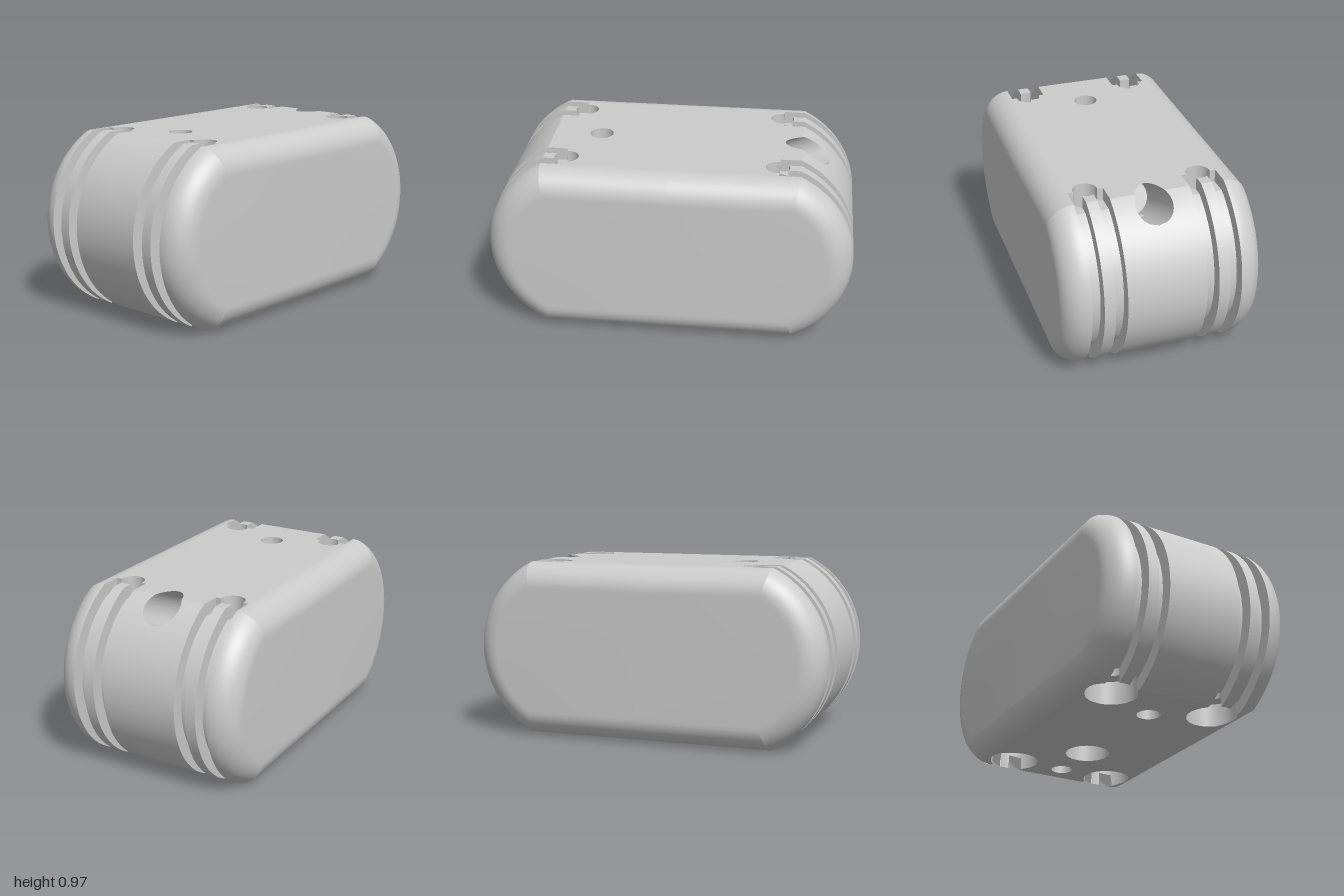
import * as THREE from 'three';
import { mergeGeometries, toCreasedNormals } from 'three/addons/utils/BufferGeometryUtils.js';

// Cross-section: flat top and bottom, round ends, filleted front and back
const H = 0.485, R = 0.538, C = 0.462, FILLET = 0.14, Z0 = 0.405;
// Corner holes and the two grooves beside each
const HX = 0.57, HZ = 0.31, HR = 0.065, CR = 0.1375, CDEPTH = 0.13;
const GD = 0.07, VI = 0.03, VO = 0.095, SLOT = 0.58;
// Slanted tunnel
const TP = { x: 0.76, y: 0.932 }, TA = 0.419, TR = 0.1, TLEN = 0.42;
const TC = Math.cos(TA), TS = Math.sin(TA);

const lerp = THREE.MathUtils.lerp;
const half = (r, v) => Math.sqrt(Math.max(0, r * r - v * v));
const miterX = d => C + half(R - d, H - d);
const X1 = miterX(0);
const bottomY = (d, x) => x < miterX(d) ? d : H - half(R - d, x - C);
const topEdge = v => Math.abs(v) > VI ? Math.max(SLOT, HX + half(HR, v)) : HX + half(HR, v);
const topEdgeRidge = v => HX + half(HR, v);
const bottomEdge = v => HX + half(CR, v);

// Grid of quads; f(s, t) with both from 0 to 1
function grid(n, m, f) {
  const pos = [], idx = [];
  for (let i = 0; i <= n; i++) for (let j = 0; j <= m; j++) pos.push(...f(i / n, j / m));
  for (let i = 0; i < n; i++) for (let j = 0; j < m; j++) {
    const a = i * (m + 1) + j, b = a + m + 1;
    idx.push(a, b, b + 1, a, b + 1, a + 1);
  }
  const g = new THREE.BufferGeometry();
  g.setAttribute('position', new THREE.Float32BufferAttribute(pos, 3));
  g.setIndex(idx);
  return g.toNonIndexed();
}

// Swap two corners of every triangle
function flip(g) {
  const p = g.attributes.position, a = new THREE.Vector3(), b = new THREE.Vector3();
  for (let i = 0; i < p.count; i += 3) {
    a.fromBufferAttribute(p, i + 1);
    b.fromBufferAttribute(p, i + 2);
    p.setXYZ(i + 1, b.x, b.y, b.z);
    p.setXYZ(i + 2, a.x, a.y, a.z);
  }
  return g;
}

function mirror(g, sx, sz) {
  const c = g.clone().scale(sx, 1, sz);
  return sx * sz < 0 ? flip(c) : c;
}

// Flat outline in plan [x, z], lying at height y(z)
function sheet(pts, y, up) {
  const s = new THREE.ShapeGeometry(new THREE.Shape(pts.map(p => new THREE.Vector2(...p)))).toNonIndexed();
  const g = new THREE.BufferGeometry(), p = s.attributes.position;
  for (let i = 0; i < p.count; i++) p.setXYZ(i, p.getX(i), y(p.getY(i)), p.getY(i));
  g.setAttribute('position', p);
  return up ? flip(g) : g;
}

const arcPts = (cx, cz, r, a0, a1, n = 32) => Array.from({ length: n + 1 }, (_, i) => {
  const a = lerp(a0, a1, i / n);
  return [cx + r * Math.cos(a), cz + r * Math.sin(a)];
});

// Point on the round end, inset by d, starting at x = from on the underside
function endArc(s, d, from = 0) {
  const r = R - d, a = Math.asin((H - d) / r);
  const a0 = -Math.acos(Math.min(1, (Math.max(from, miterX(d)) - C) / r));
  const t = lerp(Math.max(a0, -a), a, s);
  return [C + r * Math.cos(t), H + r * Math.sin(t)];
}

// Round end with short flats running to the corner hole and counterbore
const N = 64;
function band(s, d, v, edge) {
  const k = Math.round(s * (N + 2)), ub = bottomEdge(v);
  if (k === 0) return ub < miterX(d) ? [ub, d] : endArc(0, d, ub);
  if (k === N + 2) return [edge(v), 2 * H - d];
  return endArc((k - 1) / N, d, ub);
}

const tunnelHalfWidth = (x, y) => y < H ? 0 : half(TR, (x - TP.x) * TS - (y - TP.y) * TC);

// Vertical half bore on the centre line, optionally closed at the top
function centreBore(x, r, top, closed) {
  const out = [grid(32, 1, (s, t) => [x + r * Math.cos(s * Math.PI), t * top, r * Math.sin(s * Math.PI)])];
  if (closed) out.push(grid(32, 1, (s, t) =>
    [x + r * (1 - t) * Math.cos(s * Math.PI), top, r * (1 - t) * Math.sin(s * Math.PI)]));
  return out;
}

// One quarter of the block, in +x and +z
function quarter(withTunnel) {
  const skin = [], grooves = [], holes = [], tunnel = [];
  const bores = withTunnel ? [[0.245, 0.125, 0.13, true], [0.56, 0.062, 0.72, true]] : [[0.43, HR, 2 * H, false]];
  const notch = b => arcPts(b[0], 0, b[1], Math.PI, 0, 24);

  // Top sheet
  const tip = TP.x + ((2 * H - TP.y) * TC - TR) / TS;
  const rim = withTunnel
    ? Array.from({ length: 17 }, (_, i) => {
      const x = lerp(tip, X1, (i / 16) ** 2);
      return [x, tunnelHalfWidth(x, 2 * H)];
    })
    : [...notch(bores[0]), [X1, 0]];
  const ha = Math.acos((SLOT - HX) / HR);
  skin.push(sheet([[0, 0], ...rim, [X1, HZ - VO], [SLOT, HZ - VO],
    ...arcPts(HX, HZ, HR, -ha, ha - 2 * Math.PI), [SLOT, Z0], [0, Z0]], () => 2 * H, true));

  // Bottom sheet and the shallow start of its fillet, cut by the counterbore
  const ca = Math.asin(VO / CR), t1 = Math.asin(0.35);
  const z1 = Z0 + FILLET * 0.35, d1 = FILLET * (1 - Math.cos(t1));
  skin.push(sheet([[0, 0], ...bores.flatMap(notch), [X1, 0], [X1, HZ - VO],
    ...arcPts(HX, HZ, CR, -ca, -Math.PI - ca), [0, Z0]], () => 0, false));
  skin.push(sheet([[0, Z0], ...arcPts(HX, HZ, CR, Math.PI - ca, ca), [X1, Z0], [miterX(d1), z1], [0, z1]],
    z => d1 * (z - Z0) / (z1 - Z0), false));

  // Round end between the grooves
  skin.push(grid(96, 1, (s, t) => {
    const [x, y] = endArc(s, 0);
    return [x, y, lerp(withTunnel ? tunnelHalfWidth(x, y) : 0, HZ - VO, t)];
  }));

  // Fillet round the front edge
  const row = a => [FILLET * (1 - Math.cos(a)), Z0 + FILLET * Math.sin(a)];
  for (const [a0, a1, m] of [[0, t1, 5], [t1, Math.PI / 2, 14]]) {
    skin.push(grid(N, m, (s, t) => { const [d, z] = row(lerp(a0, a1, t)); return [...endArc(s, d), z]; }));
    skin.push(grid(1, m, (s, t) => { const [d, z] = row(lerp(a0, a1, t)); return [miterX(d) * (1 - s), 2 * H - d, z]; }));
    if (a0 > 0) skin.push(grid(1, m, (s, t) => { const [d, z] = row(lerp(a0, a1, t)); return [miterX(d) * s, d, z]; }));
  }
  // Front face
  skin.push(grid(N, 1, (s, t) => {
    const [x, y] = endArc(s, FILLET);
    return [x * (1 - t), y, Z0 + FILLET];
  }));

  // Ridge, groove floors and groove walls
  skin.push(grid(N + 2, 8, (s, t) => {
    const v = lerp(-VI, VI, t);
    return [...band(s, 0, v, topEdgeRidge), HZ + v];
  }));
  for (const [v0, v1] of [[-VO, -VI], [VI, VO]]) {
    grooves.push(grid(N + 2, 12, (s, t) => {
      const v = lerp(v0, v1, t);
      return [...band(s, GD, v, topEdge), HZ + v];
    }));
    for (const v of [v0, v1]) {
      const wall = grid(N + 2, 1, (s, t) => [...band(s, GD * (1 - t), v, topEdge), HZ + v]);
      grooves.push(v === v0 ? flip(wall) : wall);
    }
    const e = half(HR, SLOT - HX), q = v0 < 0 ? [-VO, -e] : [e, VO];
    grooves.push(grid(1, 1, (s, t) => [SLOT, 2 * H - GD * (1 - s), HZ + lerp(q[0], q[1], t)]));
  }

  // Corner hole and counterbore, with gaps where the grooves run in
  const SEG = 96;
  for (let i = 0; i < SEG; i++) {
    const a = k => (i + k) / SEG * 2 * Math.PI;
    const open = r => {
      const u = HX + r * Math.cos(a(0.5)), v = Math.abs(r * Math.sin(a(0.5)));
      return u > SLOT && v > VI && v < VO;
    };
    const at = (r, k) => [HX + r * Math.cos(a(k)), HZ + r * Math.sin(a(k))];
    holes.push(grid(1, 1, (s, t) => {
      const [x, z] = at(HR, s);
      return [x, lerp(CDEPTH, 2 * H - (open(HR) ? GD : 0), t), z];
    }));
    holes.push(grid(1, 1, (s, t) => {
      const [x, z] = at(CR, s);
      const low = z > Z0 ? d1 * (z - Z0) / (z1 - Z0) : bottomY(open(CR) ? GD : 0, x);
      return [x, lerp(low, CDEPTH, t), z];
    }));
    holes.push(grid(1, 1, (s, t) => {
      const [x, z] = at(lerp(CR, HR, t), s);
      return [x, CDEPTH, z];
    }));
  }
  bores.forEach(b => holes.push(...centreBore(...b)));

  // Slanted tunnel, from the outer surface to a blind end
  if (withTunnel) {
    const at = (s, r) => {
      const a = s * Math.PI;
      return [TP.x - TS * r * Math.cos(a), TP.y + TC * r * Math.cos(a), r * Math.sin(a)];
    };
    tunnel.push(flip(grid(48, 1, (s, t) => {
      const [x, y, z] = at(s, TR);
      const b = (x - C) * TC + (y - H) * TS, c = (x - C) ** 2 + (y - H) ** 2 - R * R;
      const out = Math.min((2 * H - y) / TS, -b + Math.sqrt(b * b - c));
      const l = lerp(-TLEN, out, t);
      return [x + l * TC, y + l * TS, z];
    })));
    tunnel.push(grid(48, 1, (s, t) => {
      const [x, y, z] = at(s, TR * (1 - t));
      return [x - TLEN * TC, y - TLEN * TS, z];
    }));
  }
  return { body: skin, grooves, mountingHoles: holes, slantedTunnel: tunnel };
}

export function createModel() {
  const group = new THREE.Group();
  const material = new THREE.MeshStandardMaterial({ color: 0xcccccc, side: THREE.DoubleSide });
  const right = quarter(true), left = quarter(false);
  for (const name of Object.keys(right)) {
    const parts = [];
    for (const sz of [1, -1]) {
      right[name].forEach(g => parts.push(mirror(g, 1, sz)));
      left[name].forEach(g => parts.push(mirror(g, -1, sz)));
    }
    const mesh = new THREE.Mesh(toCreasedNormals(mergeGeometries(parts), 0.1), material);
    mesh.name = name;
    group.add(mesh);
  }
  return group;
}
